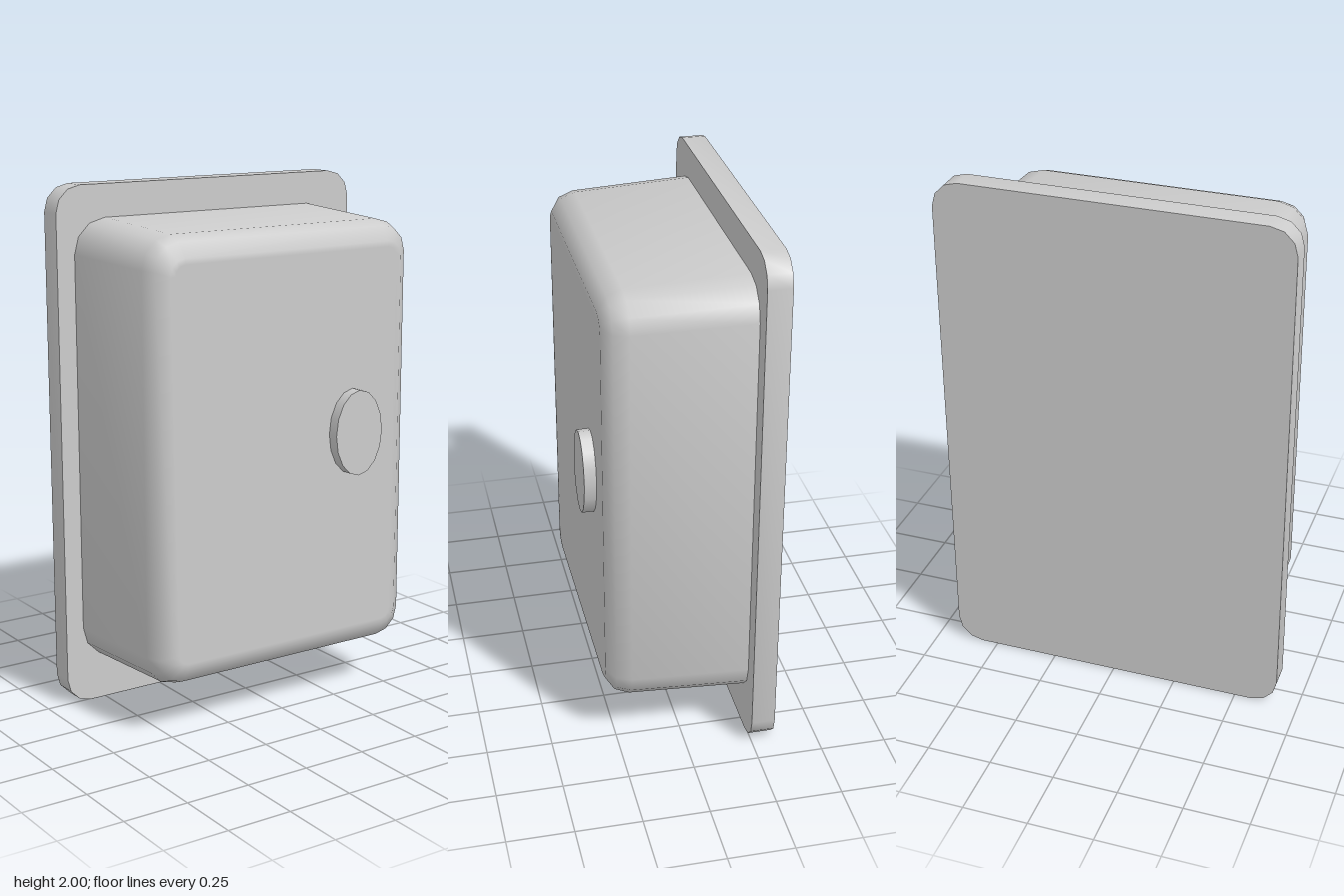
import * as THREE from 'three';
import { toCreasedNormals } from 'three/addons/utils/BufferGeometryUtils.js';

const CORNER_STEPS = 3;

// Rounded rectangle ring, counter-clockwise seen from the front (+z)
function ring(halfW, halfH, radius, cy, z) {
  const points = [];
  for (let c = 0; c < 4; c++) {
    const sx = c === 0 || c === 3 ? 1 : -1;
    const sy = c < 2 ? 1 : -1;
    for (let i = 0; i <= CORNER_STEPS; i++) {
      const a = (c + i / CORNER_STEPS) * Math.PI / 2;
      points.push([
        sx * (halfW - radius) + radius * Math.cos(a),
        cy + sy * (halfH - radius) + radius * Math.sin(a),
        z,
      ]);
    }
  }
  return points;
}

// Closed skin through rings ordered from back to front
function loft(rings, crease) {
  const n = rings[0].length;
  const last = rings.length - 1;
  const index = [];
  for (let r = 0; r < last; r++) {
    for (let i = 0; i < n; i++) {
      const j = (i + 1) % n;
      const a = r * n + i, b = r * n + j;
      index.push(a, b, b + n, a, b + n, a + n);
    }
  }
  for (let i = 1; i < n - 1; i++) {
    index.push(0, i + 1, i);
    index.push(last * n, last * n + i, last * n + i + 1);
  }
  const geometry = new THREE.BufferGeometry();
  geometry.setAttribute('position', new THREE.Float32BufferAttribute(rings.flat(2), 3));
  geometry.setIndex(index);
  return toCreasedNormals(geometry, crease);
}

export function createModel() {
  const group = new THREE.Group();
  const material = new THREE.MeshStandardMaterial({ color: 0xcccccc });

  function add(name, geometry) {
    const mesh = new THREE.Mesh(geometry, material);
    mesh.name = name;
    group.add(mesh);
    return mesh;
  }

  // Flat mounting plate with rounded corners
  add('backPlate', loft([
    ring(0.665, 1, 0.1, 1, -0.335),
    ring(0.665, 1, 0.1, 1, -0.245),
  ], 0.8));

  // Tapered housing with a rounded front edge
  const cy = 1.023;
  add('housing', loft([
    ring(0.592, 0.853, 0.13, cy, -0.25),
    ring(0.574, 0.833, 0.12, cy, 0.2),
    ring(0.555, 0.811, 0.1, cy, 0.255),
    ring(0.512, 0.757, 0.06, cy, 0.29),
    ring(0.49, 0.735, 0.04, cy, 0.29),
  ], 0.9));

  // Low oval button on the front face
  const oval = new THREE.CylinderGeometry(1, 1, 0.05, 16);
  oval.rotateX(Math.PI / 2);
  oval.scale(0.108, 0.165, 1);
  add('ovalButton', oval).position.set(0.292, 1.07, 0.31);

  return group;
}
